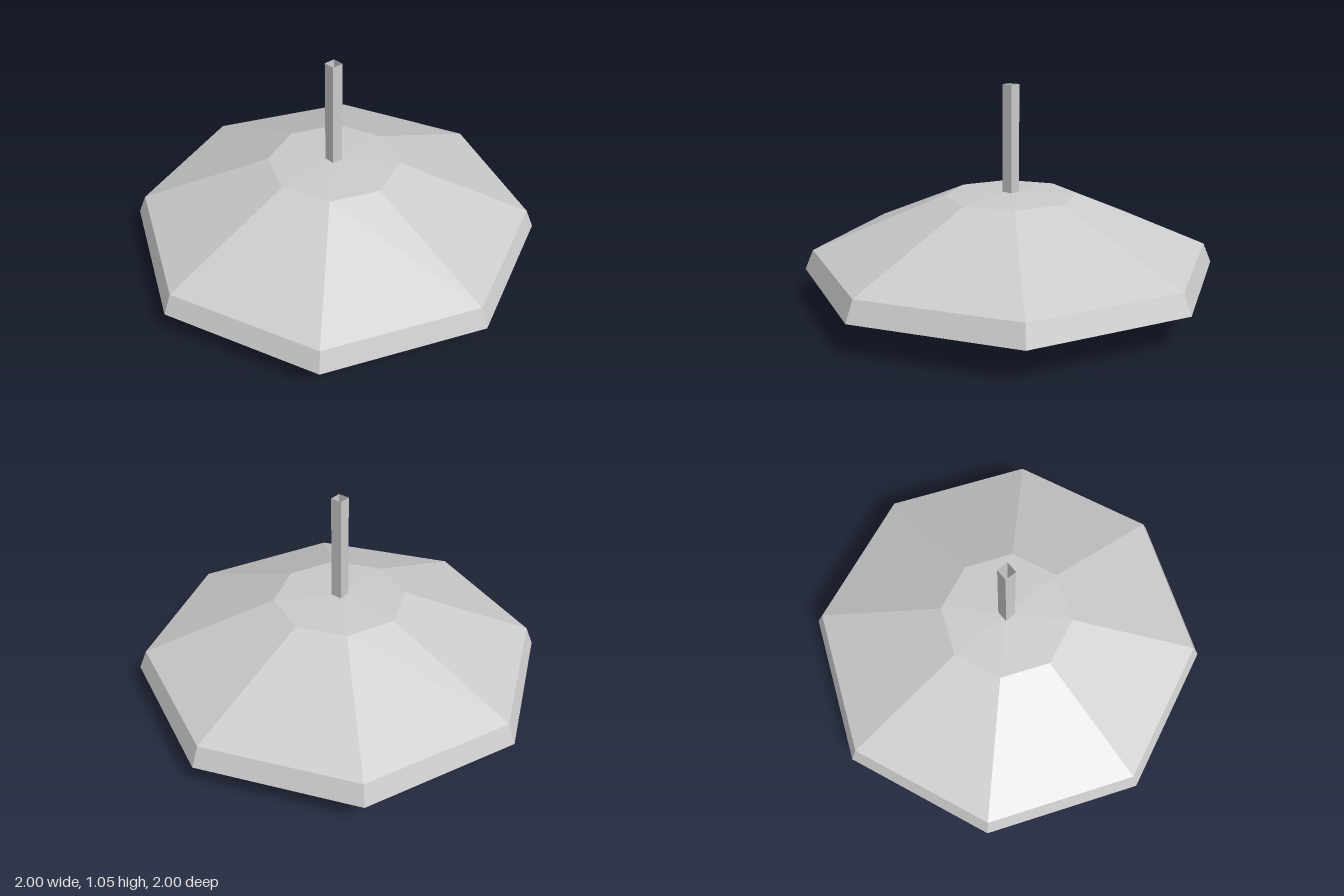
import * as THREE from 'three';

const material = new THREE.MeshStandardMaterial({
  color: 0xcccccc, flatShading: true, side: THREE.DoubleSide,
});

// Faceted solid of revolution from [radius, height] pairs.
function turned(name, profile, sides) {
  const points = profile.map(([r, y]) => new THREE.Vector2(r, y));
  const mesh = new THREE.Mesh(new THREE.LatheGeometry(points, sides), material);
  mesh.name = name;
  return mesh;
}

export function createModel() {
  const lamp = new THREE.Group();
  lamp.name = 'pendantLamp';

  // Thick octagonal shade: inner ceiling, rim, then outer skin
  lamp.add(turned('shade', [
    [0, 0.495], [0.3, 0.48], [0.91, 0.22], [0.95, 0.165],
    [1, 0.165], [0.96, 0.26], [0.32, 0.525], [0, 0.54],
  ], 8));

  // Bulb from its tip up to the neck at the ceiling
  lamp.add(turned('bulb', [
    [0, 0], [0.13, 0.04], [0.19, 0.12], [0.19, 0.28], [0.13, 0.36], [0.13, 0.5],
  ], 8));

  // Square hanging rod, open at the top
  lamp.add(turned('rod', [[0.04, 0.53], [0.04, 1.055]], 4));

  return lamp;
}
